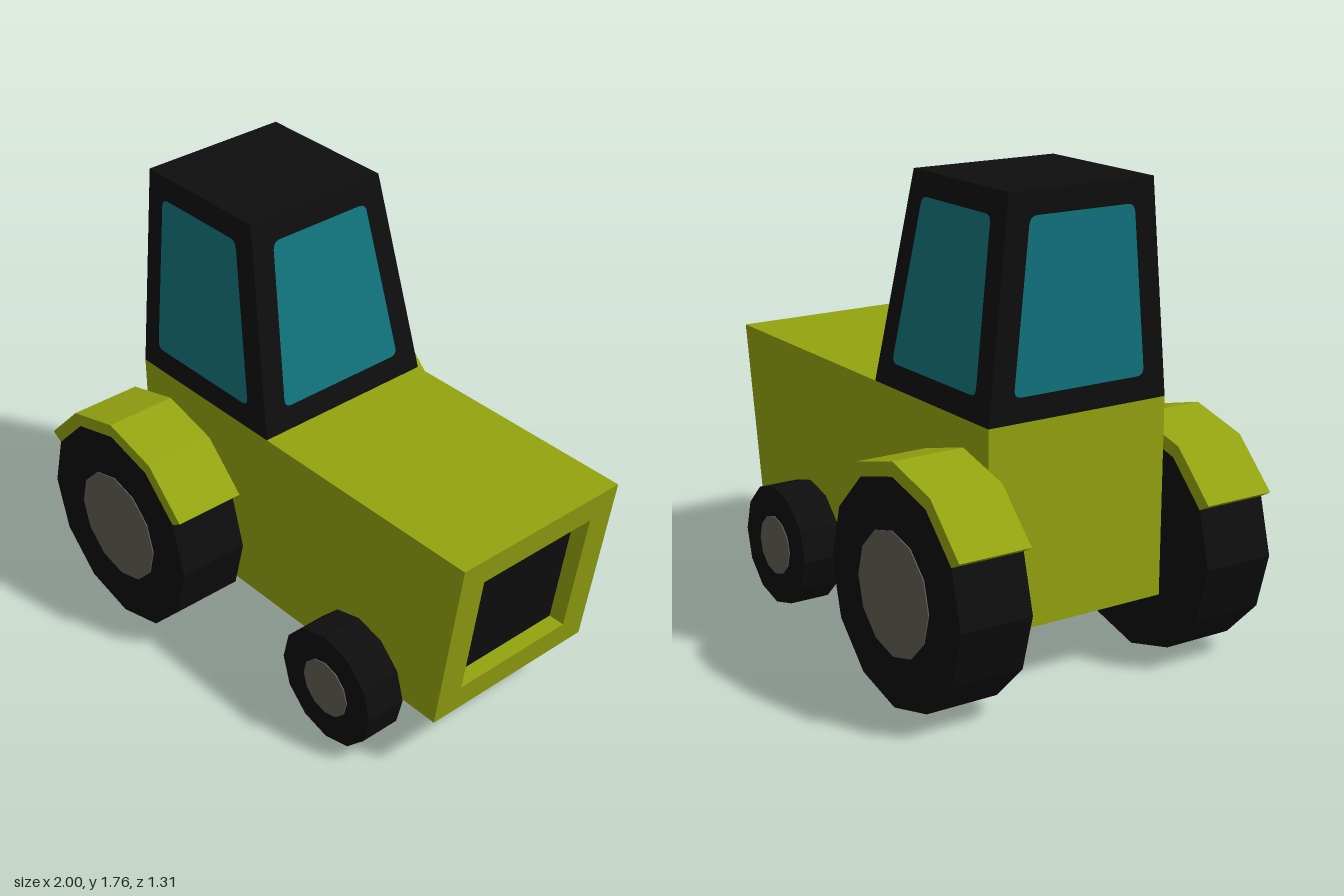
import * as THREE from 'three';

const flat = (color, name, side = THREE.FrontSide) => {
  const m = new THREE.MeshStandardMaterial({ color, flatShading: true, side });
  m.name = name;
  return m;
};

export function createModel() {
  const lime = flat(0x93a40f, 'lime paint');
  const black = flat(0x0e0e0e, 'black');
  const glass = flat(0x11757f, 'teal glass', THREE.DoubleSide);
  const grey = flat(0x5f5e55, 'hub grey');

  const model = new THREE.Group();
  model.name = 'tractor';
  const add = (name, geometry, material, x = 0, y = 0, z = 0) => {
    const mesh = new THREE.Mesh(geometry, material);
    mesh.name = name;
    mesh.position.set(x, y, z);
    model.add(mesh);
    return mesh;
  };
  const polygon = (pts) => new THREE.Shape(pts.map(([x, y]) => new THREE.Vector2(x, y)));
  // Moves every vertex by a rule
  const warp = (geometry, rule) => {
    const p = geometry.attributes.position;
    const v = new THREE.Vector3();
    for (let i = 0; i < p.count; i++) {
      rule(v.fromBufferAttribute(p, i));
      p.setXYZ(i, v.x, v.y, v.z);
    }
    geometry.computeVertexNormals();
    return geometry;
  };

  // Body dimensions
  const HALF = 0.37, LOW = 0.24, HIGH = 0.98, REAR = -0.74, SPLIT = -0.015;
  const RECESS = 0.07;
  const noseX = (y) => 0.997 - (HIGH - y) * 0.162;

  // Rear body with a black underside
  add('rearBody', new THREE.BoxGeometry(SPLIT - REAR, HIGH - LOW, HALF * 2),
    [lime, lime, lime, black, lime, lime], (SPLIT + REAR) / 2, (HIGH + LOW) / 2, 0);

  // Hood, ending behind the nose frame
  add('hood', new THREE.ExtrudeGeometry(polygon([
    [SPLIT, LOW], [noseX(LOW) - RECESS, LOW], [noseX(HIGH) - RECESS, HIGH], [SPLIT, HIGH],
  ]), { depth: HALF * 2, bevelEnabled: false }), lime, 0, 0, -HALF);

  // Sloping nose frame around the recessed grille
  const frame = polygon([[-HALF, LOW], [HALF, LOW], [HALF, HIGH], [-HALF, HIGH]]);
  const opening = [[-0.258, 0.35], [-0.258, 0.87], [0.258, 0.87], [0.258, 0.35]];
  frame.holes.push(polygon(opening));
  const slope = (v) => { v.x += noseX(v.y) - RECESS; };
  add('noseFrame', warp(
    new THREE.ExtrudeGeometry(frame, { depth: RECESS, bevelEnabled: false }).rotateY(Math.PI / 2),
    slope), lime);
  add('grille', warp(
    new THREE.ShapeGeometry(polygon(opening)).rotateY(Math.PI / 2).translate(0.003, 0, 0),
    slope), black);

  // Tapered cab with an upright back
  const TOP = 1.76;
  const rise = (y) => (y - HIGH) / (TOP - HIGH);
  const cabZ = (y) => HALF - 0.075 * rise(y);
  const cabX = (y) => SPLIT - 0.15 * rise(y);
  add('cab', warp(
    new THREE.BoxGeometry(1, TOP - HIGH, 2).translate(0, (TOP + HIGH) / 2, 0),
    (v) => {
      v.x = v.x > 0 ? cabX(v.y) : REAR;
      v.z = Math.sign(v.z) * cabZ(v.y);
    }), black);

  // Window outline with rounded corners
  const pane = (pts, r = 0.03) => {
    const p = pts.map(([x, y]) => new THREE.Vector2(x, y));
    const s = new THREE.Shape();
    p.forEach((c, i) => {
      const toward = (q) => c.clone().add(q.clone().sub(c).setLength(r));
      const a = toward(p[(i + 3) % 4]), b = toward(p[(i + 1) % 4]);
      if (i === 0) s.moveTo(a.x, a.y); else s.lineTo(a.x, a.y);
      s.quadraticCurveTo(c.x, c.y, b.x, b.y);
    });
    s.closePath();
    return new THREE.ShapeGeometry(s, 4);
  };
  const LIFT = 0.004;
  const endPane = () => pane([[-0.272, 1.07], [0.272, 1.07], [0.214, 1.675], [-0.214, 1.675]]);
  for (const side of [1, -1]) {
    add(side > 0 ? 'leftWindow' : 'rightWindow', warp(
      pane([[-0.655, 1.07], [-0.125, 1.07], [-0.237, 1.675], [-0.655, 1.675]]),
      (v) => { v.z = side * (cabZ(v.y) + LIFT); }), glass);
  }
  add('windscreen', warp(endPane(), (v) => { v.z = -v.x; v.x = cabX(v.y) + LIFT; }), glass);
  add('rearWindow', warp(endPane(), (v) => { v.z = v.x; v.x = REAR - LIFT; }), glass);

  // Twelve-sided wheels with flat hubs
  const wheel = (name, x, r, hubR, outer, side) => {
    const width = outer - HALF;
    add(name + 'Tyre', new THREE.CylinderGeometry(r, r, width, 12).rotateX(Math.PI / 2),
      black, x, r, side * (HALF + width / 2));
    add(name + 'Hub', new THREE.CylinderGeometry(hubR, hubR, 0.008, 12).rotateX(Math.PI / 2),
      grey, x, r, side * outer);
  };

  // Faceted mudguard over each rear wheel
  const REAR_X = -0.59, REAR_R = 0.413;
  const arc = (r) => [30, 60, 90, 120, 150].map((d) => {
    const a = THREE.MathUtils.degToRad(d);
    return [r * Math.cos(a), r * Math.sin(a)];
  });
  const guard = polygon([...arc(0.466), ...arc(REAR_R).reverse()]);

  for (const side of [1, -1]) {
    const label = side > 0 ? 'left' : 'right';
    wheel(label + 'RearWheel', REAR_X, REAR_R, 0.225, 0.65, side);
    wheel(label + 'FrontWheel', 0.483, 0.234, 0.116, 0.53, side);
    add(label + 'Mudguard', new THREE.ExtrudeGeometry(guard, { depth: 0.28, bevelEnabled: false }),
      lime, REAR_X, REAR_R, side > 0 ? HALF : -0.65);
  }
  return model;
}
